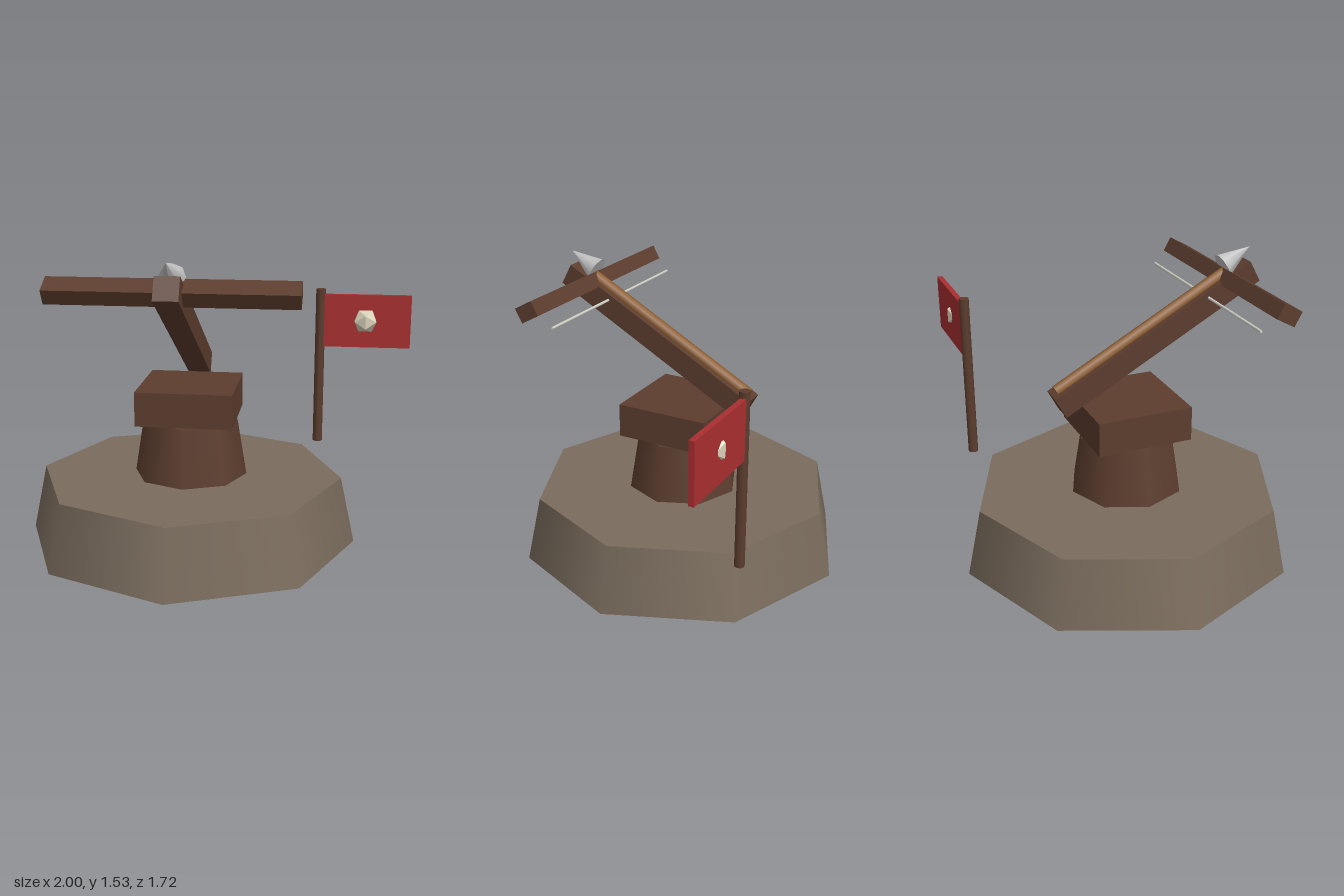
import * as THREE from 'three';

const mat = (name, color) => {
  const m = new THREE.MeshStandardMaterial({ color });
  m.name = name;
  return m;
};

export function createModel() {
  const stone = mat('stone', 0x7a6c5d);
  const wood = mat('darkWood', 0x5c3d2e);
  const shaftWood = mat('lightWood', 0x8b5a2b);
  const steel = mat('steel', 0xc0c0c0);
  const cord = mat('cord', 0xd2d2c8);
  const red = mat('redCloth', 0xaa2e30);
  const bone = mat('bone', 0xd8d0b8);
  bone.flatShading = true;

  const model = new THREE.Group();
  model.name = 'ballistaTower';
  const add = (parent, name, geometry, material, x, y, z) => {
    const mesh = new THREE.Mesh(geometry, material);
    mesh.name = name;
    mesh.position.set(x, y, z);
    parent.add(mesh);
    return mesh;
  };
  const cx = -0.14; // centre line of the tower

  // Octagonal platform, tapered pedestal and mounting block
  add(model, 'platform', new THREE.CylinderGeometry(0.785, 0.86, 0.345, 8), stone, cx, 0.1725, 0);
  add(model, 'pedestal', new THREE.CylinderGeometry(0.245, 0.293, 0.295, 8), wood, cx, 0.4975, 0);
  add(model, 'mountBlock', new THREE.BoxGeometry(0.49, 0.175, 0.49), wood, cx, 0.743, 0);

  // Raised stock with the loaded bolt
  const stock = new THREE.Group();
  stock.name = 'stock';
  stock.position.set(cx, 1.135, 0.15);
  stock.rotation.x = -0.5;
  model.add(stock);
  add(stock, 'stockBeam', new THREE.BoxGeometry(0.118, 0.118, 1.18), wood, 0, 0, 0);
  add(stock, 'boltShaft', new THREE.CylinderGeometry(0.031, 0.031, 1.05, 8).rotateX(Math.PI / 2),
    shaftWood, 0, 0.063, -0.035);
  add(stock, 'boltTip', new THREE.ConeGeometry(0.065, 0.17, 8).rotateX(Math.PI / 2), steel, 0, 0.1, 0.556);

  // Bow arms and string
  const bow = add(model, 'bowArms', new THREE.BoxGeometry(1.18, 0.079, 0.108), wood, cx, 1.38, 0.542);
  bow.rotation.x = 0.5;
  add(model, 'bowString', new THREE.CylinderGeometry(0.007, 0.007, 1.13, 6).rotateZ(Math.PI / 2),
    cord, cx, 1.313, 0.414);

  // Flag on its pole, with a faceted stud
  add(model, 'flagPole', new THREE.CylinderGeometry(0.0265, 0.0265, 0.88, 8), wood, 0.5, 0.79, -0.637);
  add(model, 'flag', new THREE.BoxGeometry(0.5, 0.295, 0.028), red, 0.75, 1.053, -0.64);
  add(model, 'flagStud', new THREE.IcosahedronGeometry(0.07, 0), bone, 0.75, 1.058, -0.609);

  return model;
}
